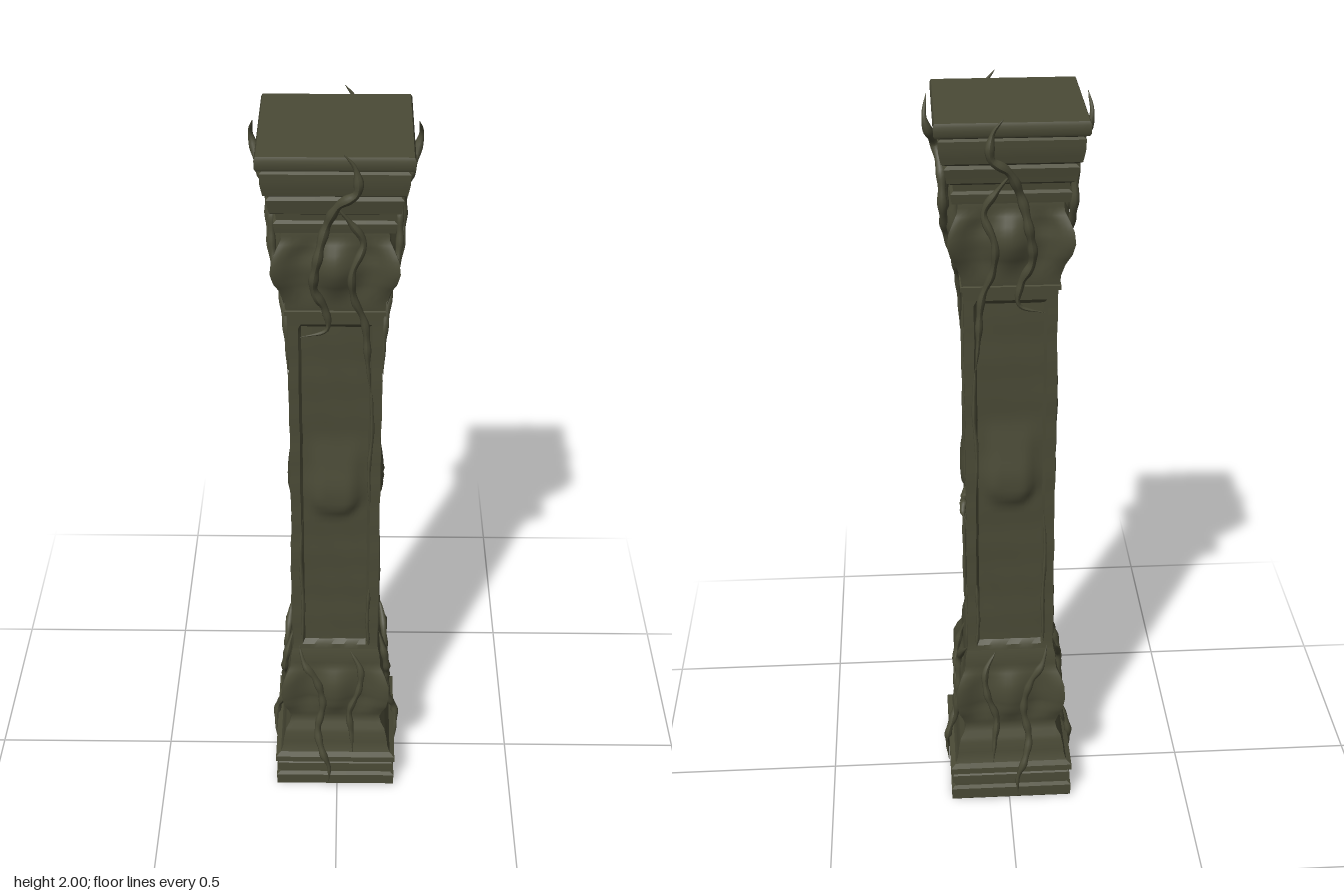
import * as THREE from 'three';
import { mergeGeometries, toCreasedNormals } from 'three/addons/utils/BufferGeometryUtils.js';

const smooth = THREE.MathUtils.smoothstep;

// Half-width of the square column at each height: [y, halfWidth]
const basePts = [
  [0, 0], [0, 0.162], [0.006, 0.168], [0.04, 0.168], [0.046, 0.158], [0.056, 0.158], [0.06, 0.165], [0.084, 0.165],
  [0.09, 0.16], [0.096, 0.171], [0.114, 0.171], [0.122, 0.157], [0.14, 0.15], [0.17, 0.146], [0.2, 0.14],
  [0.215, 0.13], [0.235, 0.125], [0.26, 0.131], [0.29, 0.143], [0.33, 0.15], [0.37, 0.148], [0.4, 0.138],
  [0.425, 0.126], [0.45, 0.124], [0.47, 0.121], [0.485, 0.117],
];
const shaftPts = [
  [0.485, 0.117], [0.5, 0.115], [0.512, 0.115], [1.508, 0.115], [1.52, 0.115], [1.545, 0.115],
];
const capitalPts = [
  [1.545, 0.115], [1.547, 0.121], [1.558, 0.121], [1.56, 0.117], [1.585, 0.12], [1.615, 0.13], [1.645, 0.145], [1.675, 0.152],
  [1.705, 0.149], [1.73, 0.138], [1.75, 0.127], [1.772, 0.124], [1.776, 0.138], [1.8, 0.141], [1.806, 0.134],
  [1.822, 0.136], [1.83, 0.15], [1.865, 0.156], [1.872, 0.148], [1.88, 0.162], [1.91, 0.168], [1.935, 0.17],
  [1.94, 0.164], [1.946, 0.177], [1.952, 0.18], [1.972, 0.18], [1.98, 0.176], [1.98, 0],
];

// Samples across a face, with tight pairs at the panel border
const across = [-1, -0.96, -0.88, -0.78, -0.72, -0.6, -0.5, -0.4, -0.3, -0.2, -0.1, 0,
  0.1, 0.2, 0.3, 0.4, 0.5, 0.6, 0.72, 0.78, 0.88, 0.96, 1];

// Carved relief: leaf lobes, sunken panel and the swelling shield on it
function relief(s, y) {
  const a = Math.abs(s);
  let d = 0;
  const valley = Math.sin(Math.PI * a) ** 2;
  const capLobe = smooth(y, 1.57, 1.67) * (1 - smooth(y, 1.7, 1.76));
  const baseLobe = smooth(y, 0.24, 0.31) * (1 - smooth(y, 0.36, 0.44));
  d -= valley * (0.028 * capLobe + 0.022 * baseLobe);
  const panel = (1 - smooth(a, 0.72, 0.78)) * smooth(y, 0.5, 0.512) * (1 - smooth(y, 1.508, 1.52));
  d -= 0.011 * panel;
  const low = 0.925 + 0.09 * s * s;
  const shield = smooth(y, low, low + 0.05) * (1 - smooth(y, 1.0, 1.2)) * (1 - smooth(a, 0.3, 0.68));
  d += panel * (0.02 * shield + 0.0018 * Math.sin(y * 23 + s * 4) * Math.cos(s * 5 + y * 9));
  return d;
}

// Four identical carved faces joined at the corners
function carvedBlock(profile) {
  const rows = [];
  profile.forEach(([y, h], i) => {
    if (i) {
      const [y0, h0] = profile[i - 1];
      const n = Math.max(1, Math.ceil((y - y0) / 0.02));
      for (let k = 1; k < n; k++) rows.push([y0 + (y - y0) * k / n, h0 + (h - h0) * k / n]);
    }
    rows.push([y, h]);
  });
  const pos = [], idx = [], w = across.length;
  for (const [y, h] of rows) {
    const worn = h ? h + 0.0012 * Math.sin(y * 41) * Math.sin(y * 17) : 0;
    for (const s of across) pos.push(s * worn, y, worn + relief(s, y));
  }
  for (let j = 0; j < rows.length - 1; j++) {
    for (let i = 0; i < w - 1; i++) {
      const a = j * w + i, b = a + 1, c = a + w, d = c + 1;
      idx.push(a, b, d, a, d, c);
    }
  }
  const face = new THREE.BufferGeometry();
  face.setAttribute('position', new THREE.Float32BufferAttribute(pos, 3));
  face.setIndex(idx);
  const faces = [0, 1, 2, 3].map(k => face.clone().rotateY(k * Math.PI / 2));
  return toCreasedNormals(mergeGeometries(faces), 0.6);
}

// Root that tapers to a point at both ends; points are [across, y, outward]
function root(points, radius, flip = 1) {
  const curve = new THREE.CatmullRomCurve3(points.map(([u, y, d]) => new THREE.Vector3(u * flip, y, d)));
  const segs = points.length * 7, sides = 8;
  const g = new THREE.TubeGeometry(curve, segs, radius, sides);
  const p = g.attributes.position, v = new THREE.Vector3();
  for (let i = 0; i <= segs; i++) {
    const t = i / segs, c = curve.getPointAt(t);
    const k = Math.min(1, 0.05 + 7 * t, 0.05 + 4 * (1 - t)) * (1 + 0.15 * Math.sin(i * 0.9));
    for (let j = 0; j <= sides; j++) {
      const n = i * (sides + 1) + j;
      v.fromBufferAttribute(p, n).sub(c).multiplyScalar(k).add(c);
      p.setXYZ(n, v.x, v.y, v.z);
    }
  }
  g.computeVertexNormals();
  return g;
}

// Roots hanging over the capital
const upperA = [
  [[0.02, 1.995, 0.194], [0.045, 1.96, 0.19], [0.05, 1.9, 0.188], [0.01, 1.865, 0.175], [-0.02, 1.8, 0.155], [-0.04, 1.72, 0.158],
    [-0.05, 1.63, 0.14], [-0.025, 1.57, 0.126], [-0.02, 1.51, 0.122], [-0.085, 1.485, 0.117]],
  [[0.0, 1.86, 0.17], [0.035, 1.81, 0.155], [0.065, 1.755, 0.146], [0.04, 1.68, 0.152], [0.045, 1.6, 0.134],
    [0.07, 1.53, 0.122], [0.08, 1.4, 0.118], [0.088, 1.32, 0.115]],
];
const upperB = [
  [[-0.012, 1.995, 0.19], [0.02, 1.95, 0.197], [0.015, 1.91, 0.187], [-0.02, 1.87, 0.172], [0.02, 1.81, 0.16], [0.03, 1.73, 0.158],
    [-0.01, 1.65, 0.15], [-0.03, 1.58, 0.13], [-0.07, 1.5, 0.12], [-0.085, 1.36, 0.117]],
  [[0.0, 1.83, 0.158], [-0.04, 1.78, 0.15], [-0.055, 1.7, 0.15], [-0.075, 1.62, 0.135], [-0.07, 1.55, 0.124]],
];
// Roots climbing the base
const lowerA = [
  [[-0.1, 0.495, 0.117], [-0.085, 0.44, 0.134], [-0.055, 0.39, 0.14], [-0.035, 0.3, 0.14], [-0.05, 0.2, 0.15],
    [-0.035, 0.13, 0.172], [-0.018, 0.08, 0.175], [-0.02, 0.01, 0.172]],
  [[0.04, 0.48, 0.118], [0.07, 0.42, 0.134], [0.065, 0.35, 0.142], [0.04, 0.27, 0.142], [0.045, 0.2, 0.148], [0.05, 0.125, 0.16]],
];
const lowerB = [
  [[-0.03, 0.48, 0.118], [-0.045, 0.42, 0.134], [-0.042, 0.36, 0.144], [-0.01, 0.29, 0.145], [0.0, 0.2, 0.15],
    [0.02, 0.13, 0.172], [0.005, 0.07, 0.175], [0.0, 0.01, 0.172]],
  [[0.11, 0.49, 0.117], [0.08, 0.455, 0.13], [0.035, 0.4, 0.138], [0.04, 0.3, 0.142], [0.035, 0.2, 0.15], [0.015, 0.13, 0.168]],
];
// Fine tendrils along the panel border
const tendrils = [
  [[-0.09, 0.5, 0.115], [-0.087, 0.65, 0.115], [-0.092, 0.8, 0.114], [-0.086, 0.93, 0.112]],
  [[0.088, 1.34, 0.116], [0.092, 1.2, 0.115], [0.086, 1.1, 0.114], [0.09, 0.95, 0.113]],
  [[0.092, 0.49, 0.115], [0.087, 0.58, 0.115], [0.091, 0.72, 0.113]],
];

export function createModel() {
  const stone = new THREE.MeshStandardMaterial({ color: 0x4a4a36 });
  stone.name = 'mossy stone';
  const model = new THREE.Group();
  model.name = 'rootedColumn';
  const add = (parent, name, geometry) => {
    const mesh = new THREE.Mesh(geometry, stone);
    mesh.name = name;
    parent.add(mesh);
  };

  // Stonework
  add(model, 'base', carvedBlock(basePts));
  add(model, 'shaft', carvedBlock(shaftPts));
  add(model, 'capital', carvedBlock(capitalPts));

  // Roots on the front, left, back and right faces
  ['front', 'left', 'back', 'right'].forEach((side, k) => {
    const group = new THREE.Group();
    group.name = side + 'Roots';
    group.rotation.y = k * Math.PI / 2;
    const flip = k < 2 ? 1 : -1;
    (k % 2 ? upperB : upperA).forEach((p, i) => add(group, 'upperRoot', root(p, i ? 0.009 : 0.011, flip)));
    (k % 2 ? lowerB : lowerA).forEach((p, i) => add(group, 'lowerRoot', root(p, i ? 0.009 : 0.01, flip)));
    tendrils.forEach(p => add(group, 'tendril', root(p, 0.005, flip)));
    model.add(group);
  });

  // Small twig wrapping the back left corner
  add(model, 'twig', root([[0.112, 0.95, -0.02], [0.118, 0.935, -0.06], [0.121, 0.945, -0.1], [0.124, 0.93, -0.122], [0.118, 0.915, -0.135]], 0.009));

  model.children.forEach(c => { c.position.x = -0.005; });
  return model;
}
